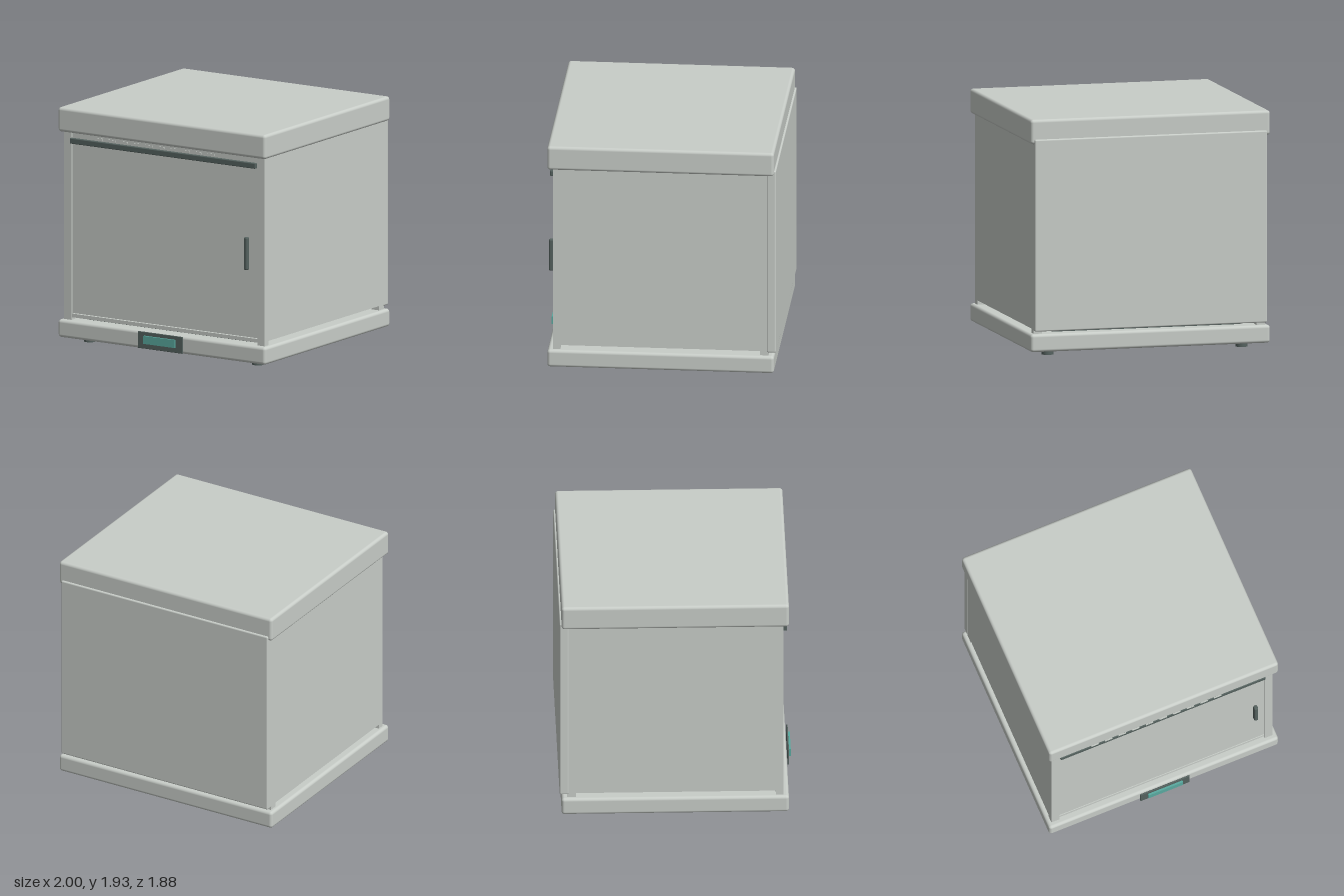
import * as THREE from 'three';
import { RoundedBoxGeometry } from 'three/addons/geometries/RoundedBoxGeometry.js';

export function createModel() {
  const model = new THREE.Group();
  model.name = 'cabinet';

  const material = (name, color) => {
    const m = new THREE.MeshStandardMaterial({ color });
    m.name = name;
    return m;
  };
  const shell = material('pale grey enamel', 0xc8cdc8);
  const trim = material('dark grey trim', 0x55625f);
  const glass = material('teal screen', 0x5aaaa0);

  // Box given by its limits on each axis, with optional rounded edges
  const box = (name, mat, [x0, x1], [y0, y1], [z0, z1], radius = 0) => {
    const size = [x1 - x0, y1 - y0, z1 - z0];
    const geometry = radius
      ? new RoundedBoxGeometry(...size, 4, radius)
      : new THREE.BoxGeometry(...size);
    const mesh = new THREE.Mesh(geometry, mat);
    mesh.name = name;
    mesh.position.set((x0 + x1) / 2, (y0 + y1) / 2, (z0 + z1) / 2);
    model.add(mesh);
    return mesh;
  };

  // Base, lid and the recessed plinth between base and body
  box('base', shell, [-1, 1], [0.045, 0.19], [-0.925, 0.905], 0.025);
  box('lid', shell, [-1, 1], [1.735, 1.935], [-0.925, 0.905], 0.025);
  box('plinth', trim, [-0.785, 0.785], [0.18, 0.23], [-0.8, 0.775]);

  // Side walls and corner posts, mirrored
  for (const s of [-1, 1]) {
    const side = s > 0 ? 'left' : 'right';
    const span = (a, b) => (s > 0 ? [a, b] : [-b, -a]);
    box(side + 'Wall', shell, span(0.92, 0.965), [0.225, 1.75], [-0.81, 0.8]);
    box(side + 'FrontPost', shell, span(0.895, 0.965), [0.18, 1.75], [0.8, 0.86]);
    box(side + 'BackPost', shell, span(0.895, 0.965), [0.18, 1.75], [-0.88, -0.81]);
  }

  // Back panel, sill under the door, and header above it
  box('backPanel', shell, [-0.97, 0.97], [0.215, 1.775], [-0.94, -0.865], 0.012);
  box('sill', shell, [-0.895, 0.895], [0.21, 0.24], [0.76, 0.85]);
  box('header', shell, [-0.895, 0.895], [1.69, 1.75], [0.76, 0.845]);

  // Door with its top rail and grip
  box('door', shell, [-0.895, 0.895], [0.245, 1.69], [0.79, 0.845]);
  box('doorRail', trim, [-0.893, 0.893], [1.645, 1.69], [0.86, 0.89], 0.006);
  box('doorHandle', trim, [0.79, 0.825], [0.805, 1.075], [0.865, 0.905], 0.012);

  // Row of vent louvres below the lid
  for (let i = 0; i < 10; i++) {
    const x = -0.6 + i * 0.119;
    box('ventLouvre', shell, [x - 0.032, x + 0.032], [1.708, 1.723], [0.894, 0.9]);
  }

  // Display on the front of the base
  box('displayFrame', trim, [-0.215, 0.215], [0.052, 0.19], [0.914, 0.926], 0.004);
  box('displayScreen', glass, [-0.15, 0.15], [0.095, 0.16], [0.926, 0.942]);

  // Feet
  const footGeometry = new THREE.CylinderGeometry(0.048, 0.048, 0.06, 24);
  for (const x of [-0.81, 0.81]) {
    for (const z of [-0.74, 0.72]) {
      const foot = new THREE.Mesh(footGeometry, trim);
      foot.name = 'foot';
      foot.position.set(x, 0.03, z);
      model.add(foot);
    }
  }

  return model;
}
